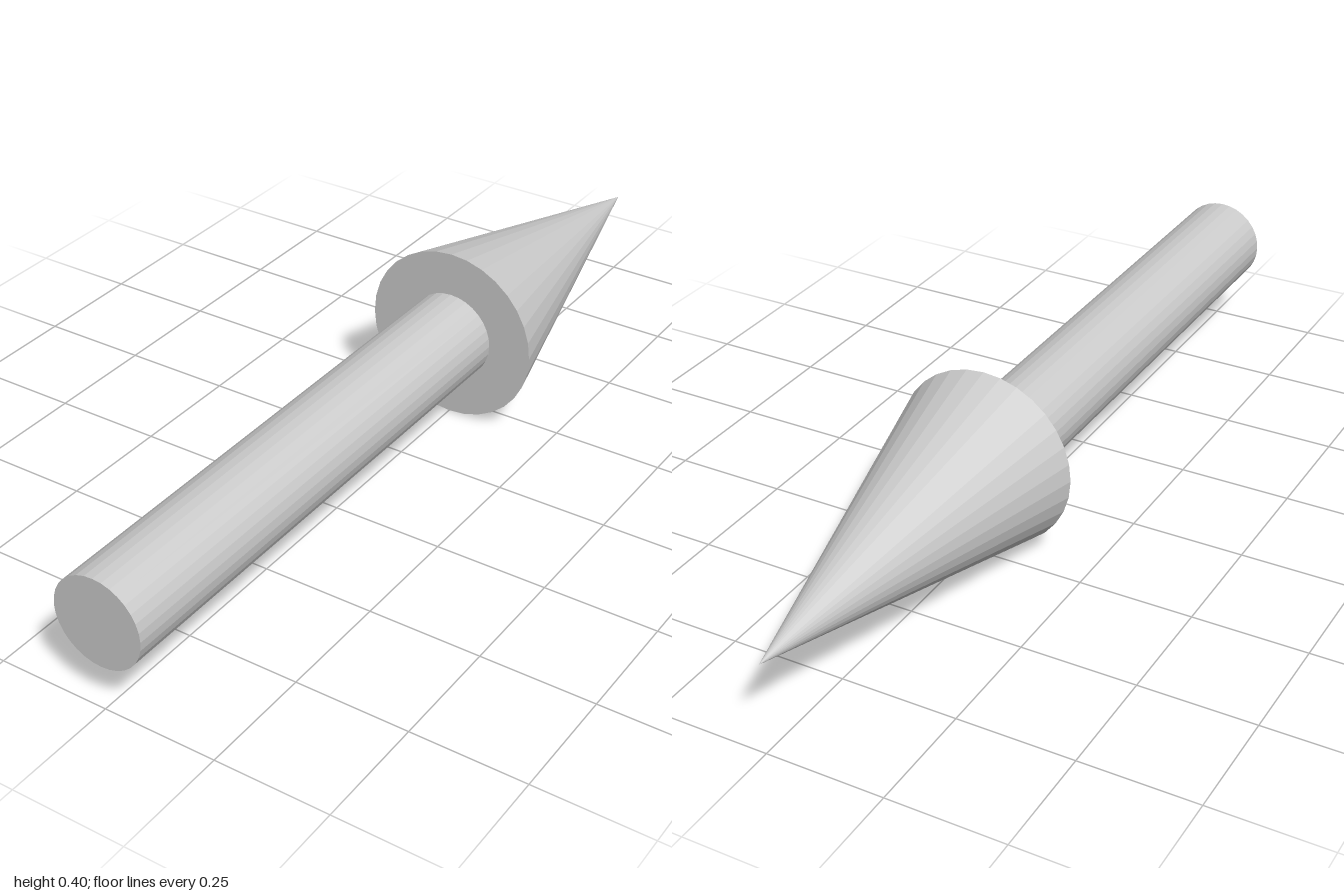
import * as THREE from 'three';

const SIDES = 32;
const AXIS_HEIGHT = 0.2;

export function createModel() {
  const group = new THREE.Group();
  group.name = 'arrow';
  const material = new THREE.MeshStandardMaterial({ color: 0xcccccc, flatShading: true });

  // Lays an upright geometry along z, its top towards -z
  const addPart = (name, geometry, z) => {
    geometry.rotateX(-Math.PI / 2);
    const mesh = new THREE.Mesh(geometry, material);
    mesh.name = name;
    mesh.position.set(0, AXIS_HEIGHT, z);
    group.add(mesh);
  };

  // Round shaft from z = 1 to z = -0.2
  addPart('shaft', new THREE.CylinderGeometry(0.1, 0.1, 1.2, SIDES), 0.4);

  // Conical head from z = -0.2 to its point at z = -1
  addPart('head', new THREE.ConeGeometry(0.2, 0.8, SIDES), -0.6);

  return group;
}
